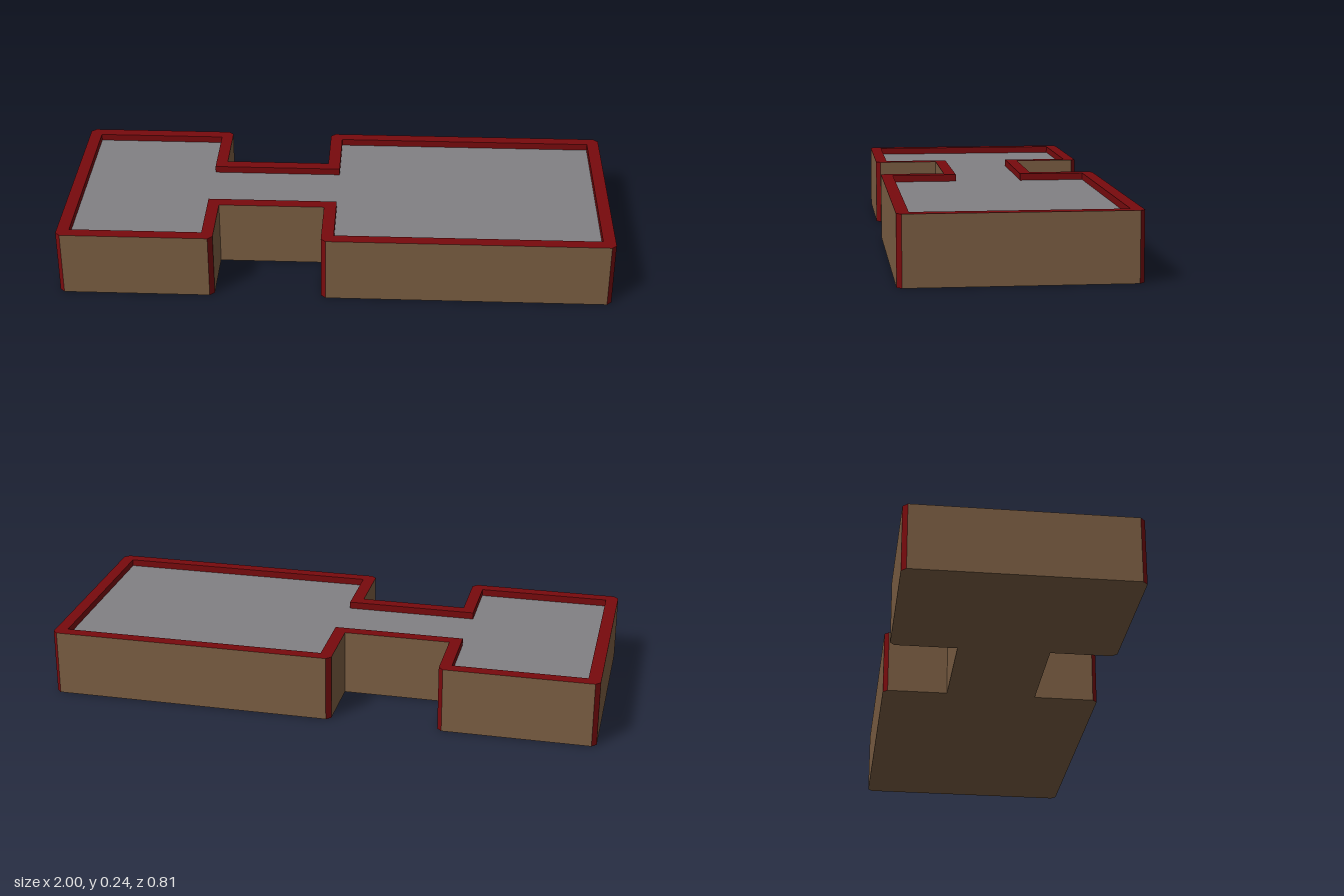
import * as THREE from 'three';

const HEIGHT = 0.24, FLOOR = 0.215, CHAMFER = 0.017;

// Two blocks joined by a narrow neck, counter-clockwise seen from above
function outline(x0, x1, x2, x3, depth, neck) {
  const half = [[x0, -depth], [x1, -depth], [x1, -neck], [x2, -neck], [x2, -depth], [x3, -depth]]
    .map(([x, y]) => new THREE.Vector2(x, y));
  const mirrored = half.map(p => new THREE.Vector2(p.x, -p.y)).reverse();
  return [...half, ...mirrored];
}

// Cuts every convex corner; returns the straight edges, the cuts and the whole loop
function chamfer(points, size) {
  const loop = [], cuts = [], sides = [];
  points.forEach((p, i) => {
    const toPrev = points.at(i - 1).clone().sub(p).normalize();
    const toNext = points[(i + 1) % points.length].clone().sub(p).normalize();
    if (toNext.cross(toPrev) > 0) {
      const a = p.clone().addScaledVector(toPrev, size);
      const b = p.clone().addScaledVector(toNext, size);
      cuts.push([a, b]);
      loop.push({ p: a, cut: true }, { p: b, cut: false });
    } else loop.push({ p, cut: false });
  });
  loop.forEach((v, i) => {
    if (!v.cut) sides.push([v.p, loop[(i + 1) % loop.length].p]);
  });
  return { loop: loop.map(v => v.p), cuts, sides };
}

// Upright flat wall for each edge
function walls(edges, y0, y1) {
  const pos = [];
  for (const [a, b] of edges) {
    const c = [[a, y0], [b, y0], [b, y1], [a, y0], [b, y1], [a, y1]];
    for (const [p, y] of c) pos.push(p.x, y, -p.y);
  }
  const geo = new THREE.BufferGeometry();
  geo.setAttribute('position', new THREE.Float32BufferAttribute(pos, 3));
  geo.computeVertexNormals();
  return geo;
}

// Horizontal sheet, facing up or down
function sheet(points, y, up = true, hole = null) {
  const shape = new THREE.Shape(points);
  if (hole) shape.holes.push(new THREE.Path(hole));
  const geo = new THREE.ShapeGeometry(shape);
  geo.rotateX(up ? -Math.PI / 2 : Math.PI / 2);
  return geo.translate(0, y, 0);
}

export function createModel() {
  const group = new THREE.Group();
  const material = (name, color) => {
    const m = new THREE.MeshStandardMaterial({ color });
    m.name = name;
    return m;
  };
  const brown = material('brown wall', 0x7a5d42);
  const red = material('dark red trim', 0x780a0d);
  const grey = material('grey roof', 0x828084);
  const add = (name, geo, mat) => {
    const mesh = new THREE.Mesh(geo, mat);
    mesh.name = name;
    group.add(mesh);
  };

  const outer = chamfer(outline(-1, -0.435, -0.048, 1, 0.403, 0.165), CHAMFER);
  const inner = outline(-0.955, -0.478, -0.003, 0.955, 0.36, 0.122);
  const innerEdges = inner.map((p, i) => [inner[(i + 1) % inner.length], p]);

  // Building body
  add('outerWalls', walls(outer.sides, 0, HEIGHT), brown);
  add('base', sheet(outer.loop, 0, false), brown);
  // Corner strips and parapet
  add('cornerStrips', walls(outer.cuts, 0, HEIGHT), red);
  add('parapetTop', sheet(outer.loop, HEIGHT, true, inner), red);
  add('parapetInside', walls(innerEdges, FLOOR, HEIGHT), red);
  // Sunken roof
  add('roof', sheet(inner, FLOOR), grey);

  return group;
}
